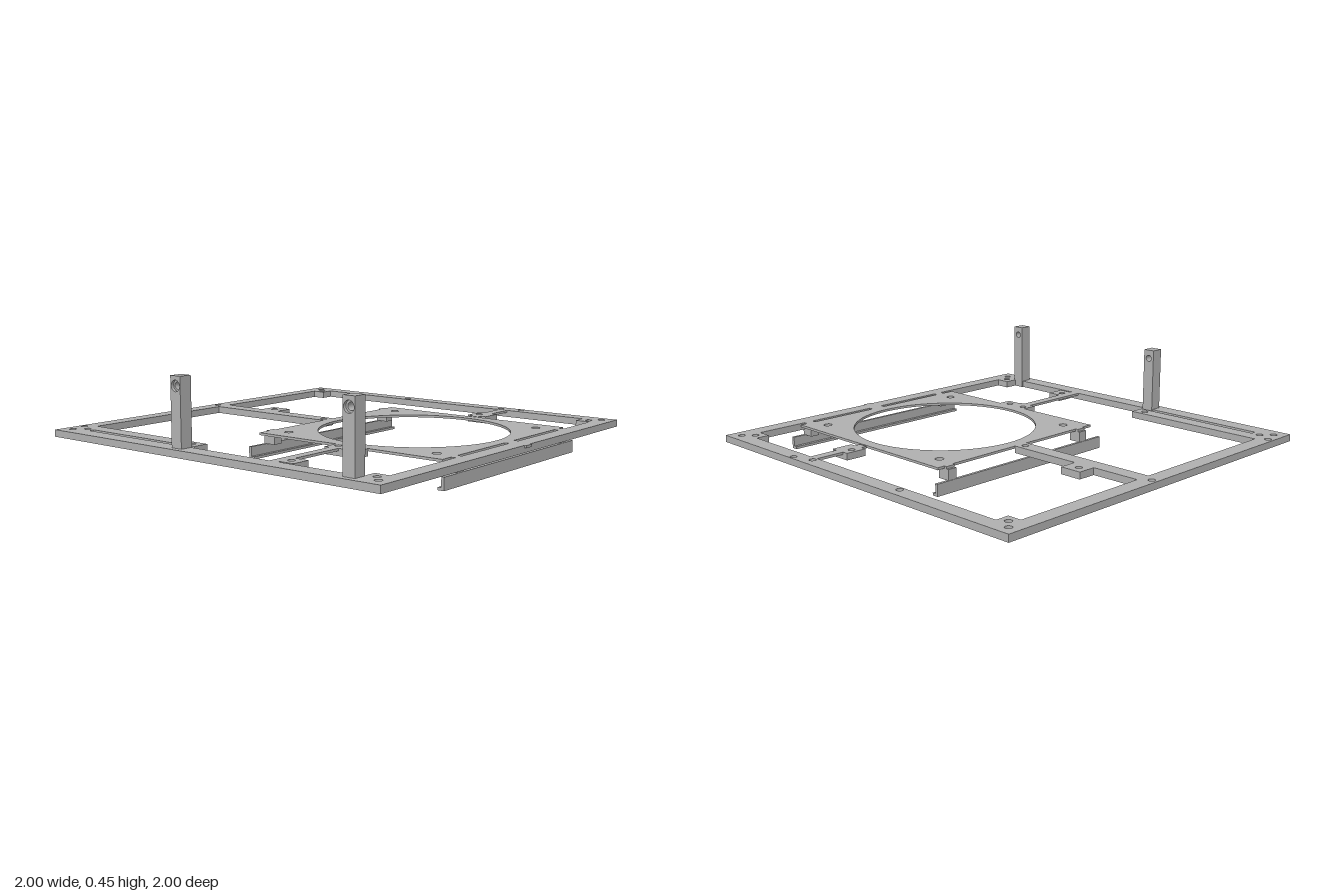
import * as THREE from 'three';

export function createModel() {
  const group = new THREE.Group();
  group.name = 'mountingFrame';
  const grey = new THREE.MeshStandardMaterial({ color: 0xb0b0b0 });
  grey.name = 'grey';

  const TOP = 0.125, BEAM = 0.09, THIN = 0.113;

  function add(geometry, name) {
    const mesh = new THREE.Mesh(geometry, grey);
    mesh.name = name;
    group.add(mesh);
    return mesh;
  }
  const polygon = pts => pts.map(([x, y]) => new THREE.Vector2(x, y));
  const rect = (x0, x1, z0, z1) => [[x0, z0], [x1, z0], [x1, z1], [x0, z1]];
  const circle = (x, y, r) => new THREE.Path().absarc(x, y, r, 0, Math.PI * 2, true);

  // Flat part drawn in x,z with round holes [x, z, radius], between two heights
  function slab(name, outline, y0, y1, drills = [], opening = null) {
    const shape = new THREE.Shape(polygon(outline));
    for (const [x, z, r = 0.017] of drills) shape.holes.push(circle(x, z, r));
    if (opening) shape.holes.push(new THREE.Path(polygon(opening)));
    const g = new THREE.ExtrudeGeometry(shape, { depth: y1 - y0, bevelEnabled: false, curveSegments: 24 });
    g.rotateX(Math.PI / 2).translate(0, y1, 0);
    return add(g, name);
  }
  function box(name, x0, x1, y0, y1, z0, z1) {
    const g = new THREE.BoxGeometry(x1 - x0, y1 - y0, z1 - z0);
    g.translate((x0 + x1) / 2, (y0 + y1) / 2, (z0 + z1) / 2);
    return add(g, name);
  }

  // Outer frame with corner gussets, the middle arm and the front bar
  const opening = [
    [-0.85, -0.92], [0.835, -0.92], [0.835, -0.85], [0.91, -0.85],
    [0.91, 0.835], [0.835, 0.835], [0.835, 0.912],
    [-0.85, 0.912], [-0.85, 0.885], [-0.145, 0.885], [-0.145, 0.805], [-0.92, 0.805],
    [-0.92, -0.04], [-0.17, -0.04], [-0.17, -0.12], [-0.555, -0.12],
    [-0.555, -0.215], [-0.67, -0.215], [-0.67, -0.12], [-0.92, -0.12],
    [-0.92, -0.85], [-0.85, -0.85],
  ];
  slab('outerFrame', rect(-1, 0.99, -1, 1), BEAM, TOP, [
    [-0.945, -0.945], [-0.895, -0.895], [-0.29, -0.945], [0.335, -0.945], [0.44, -0.978],
    [0.93, -0.945], [0.885, -0.895], [0.885, 0.885], [0.93, 0.935], [-0.895, 0.885],
    [-0.945, 0.935], [-0.97, 0.845], [-0.2, 0.845], [-0.97, -0.08], [-0.2, -0.08], [-0.62, -0.165],
  ], opening);

  // Thin stems from the frame to the plate, with thicker screw tabs
  box('backStem', 0.335, 0.385, THIN, TOP, -0.92, -0.77);
  box('backStemEnd', 0.335, 0.385, THIN, TOP, -0.66, -0.63);
  slab('backTab', rect(0.305, 0.415, -0.77, -0.66), BEAM, TOP, [[0.34, -0.715]]);
  box('frontStem', 0.335, 0.385, THIN, TOP, 0.515, 0.912);
  slab('frontStemTab', rect(0.385, 0.46, 0.805, 0.9), BEAM, TOP, [[0.4 + 0.005, 0.85]]);
  slab('plateTab', [[0.305, 0.435], [0.49, 0.435], [0.49, 0.505], [0.415, 0.505], [0.415, 0.515], [0.305, 0.515]],
    BEAM, TOP, [[0.34, 0.46], [0.44, 0.46]]);

  // Thin plate with a large round opening
  const plate = new THREE.Shape(polygon(rect(-0.17, 0.887, -0.62, 0.435)));
  plate.holes.push(circle(0.36, -0.095, 0.466));
  for (const x of [-0.07, 0.79]) for (const z of [-0.52, 0.335]) plate.holes.push(circle(x, z, 0.021));
  const plateGeometry = new THREE.ExtrudeGeometry(plate, { depth: TOP - THIN, bevelEnabled: false, curveSegments: 48 });
  plateGeometry.rotateX(Math.PI / 2).translate(0, TOP, 0);
  add(plateGeometry, 'plate');
  box('plateArm', 0.887, 0.91, THIN, TOP, -0.15, -0.07);
  box('plateArmEnd', 0.99, 1, THIN, TOP, -0.12, -0.07);

  // Hanging L-shaped rails and their brackets, mirrored left and right
  for (const [outer, s] of [[-0.2, 1], [0.925, -1]]) {
    const span = (a, b) => [outer + s * a, outer + s * b].sort((p, q) => p - q);
    box('railWall', ...span(0, 0.015), 0, 0.06, -0.65, 0.475);
    box('railLip', ...span(0.015, 0.033), 0, 0.013, -0.65, 0.475);
    for (const [z0, z1] of [[-0.58, -0.53], [0.32, 0.37]]) {
      box('railBracket', ...span(0.003, 0.068), 0.06, THIN, z0, z1);
      box('plateBridge', ...span(0.015, 0.038), THIN, TOP, z0, z1);
    }
  }

  // Front posts with a counterbored hole near the top
  for (const x of [-0.17, 0.81]) {
    for (const [z, depth, r] of [[0.905, 0.05, 0.017], [0.955, 0.015, 0.026]]) {
      const shape = new THREE.Shape(polygon([[x - 0.031, BEAM], [x + 0.031, BEAM], [x + 0.031, 0.45], [x - 0.031, 0.45]]));
      shape.holes.push(circle(x, 0.405, r));
      const g = new THREE.ExtrudeGeometry(shape, { depth, bevelEnabled: false, curveSegments: 24 });
      add(g.translate(0, 0, z), 'post');
    }
  }
  return group;
}
